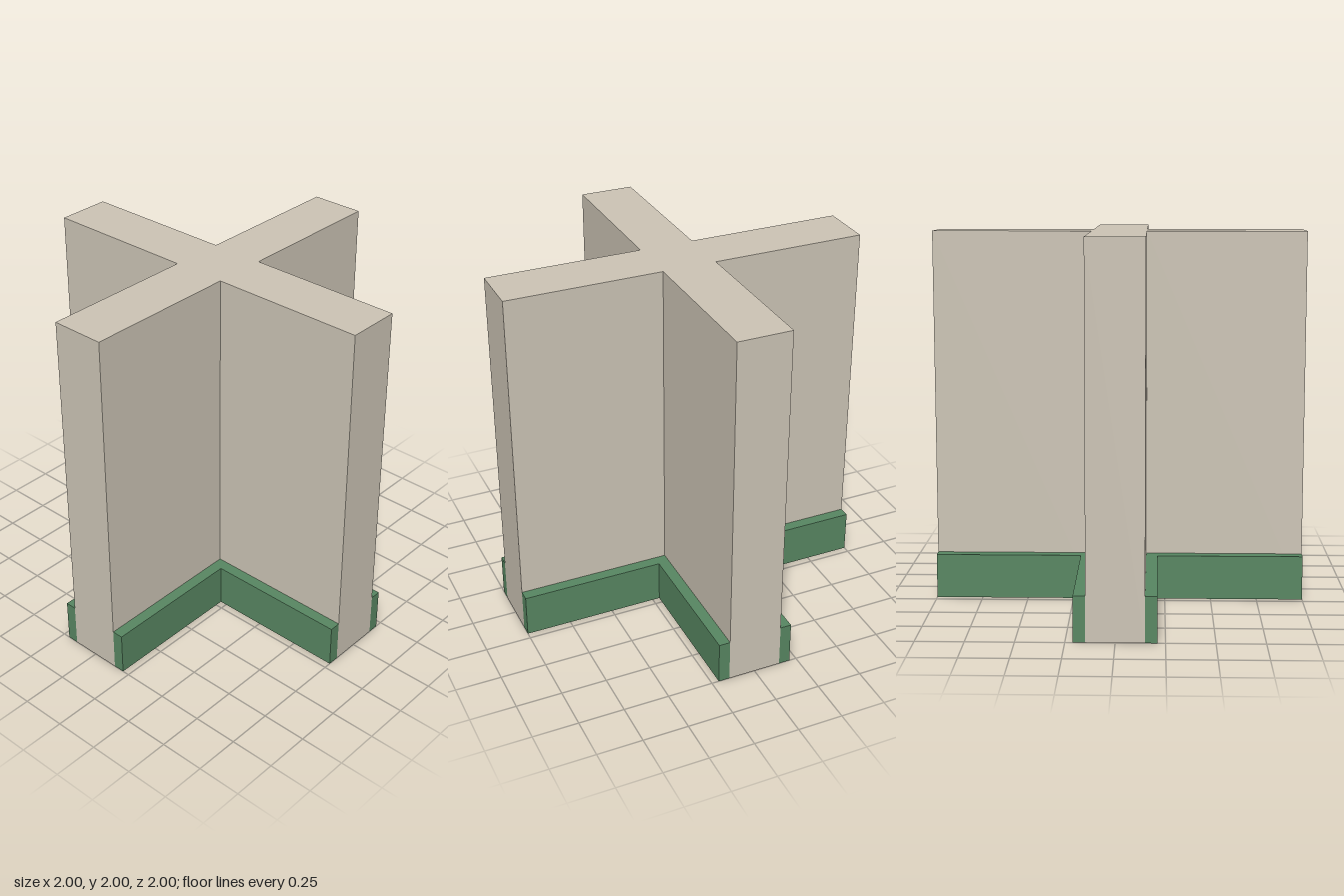
import * as THREE from 'three';

const HALF = 1;        // half length of each wall
const WALL = 0.148;    // half thickness of each wall
const SKIRT = 0.21;    // outer face of the skirting
const HEIGHT = 2;
const SKIRT_HEIGHT = 0.24;

// Extrude a floor-plan outline upwards from y = 0
function extrudePlan(points, height) {
  const shape = new THREE.Shape(points.map(([x, y]) => new THREE.Vector2(x, y)));
  const geometry = new THREE.ExtrudeGeometry(shape, { depth: height, bevelEnabled: false });
  return geometry.rotateX(-Math.PI / 2);
}

export function createModel() {
  const group = new THREE.Group();
  group.name = 'crossWall';

  const plaster = new THREE.MeshStandardMaterial({ color: 0xcdc5b6 });
  plaster.name = 'beige plaster';
  const paint = new THREE.MeshStandardMaterial({ color: 0x588762 });
  paint.name = 'green paint';

  // Two crossing walls as one plus-shaped block
  const plan = [];
  for (let i = 0; i < 4; i++) {
    const c = Math.round(Math.cos(i * Math.PI / 2));
    const s = Math.round(Math.sin(i * Math.PI / 2));
    for (const [x, y] of [[HALF, -WALL], [HALF, WALL], [WALL, WALL]]) {
      plan.push([x * c - y * s, x * s + y * c]);
    }
  }
  const walls = new THREE.Mesh(extrudePlan(plan, HEIGHT), plaster);
  walls.name = 'walls';
  group.add(walls);

  // An L-shaped skirting board in each inner corner
  const corner = extrudePlan([
    [WALL, WALL], [HALF, WALL], [HALF, SKIRT],
    [SKIRT, SKIRT], [SKIRT, HALF], [WALL, HALF],
  ], SKIRT_HEIGHT);
  for (let i = 0; i < 4; i++) {
    const skirting = new THREE.Mesh(corner, paint);
    skirting.name = `skirting${i + 1}`;
    skirting.rotation.y = i * Math.PI / 2;
    group.add(skirting);
  }

  return group;
}
